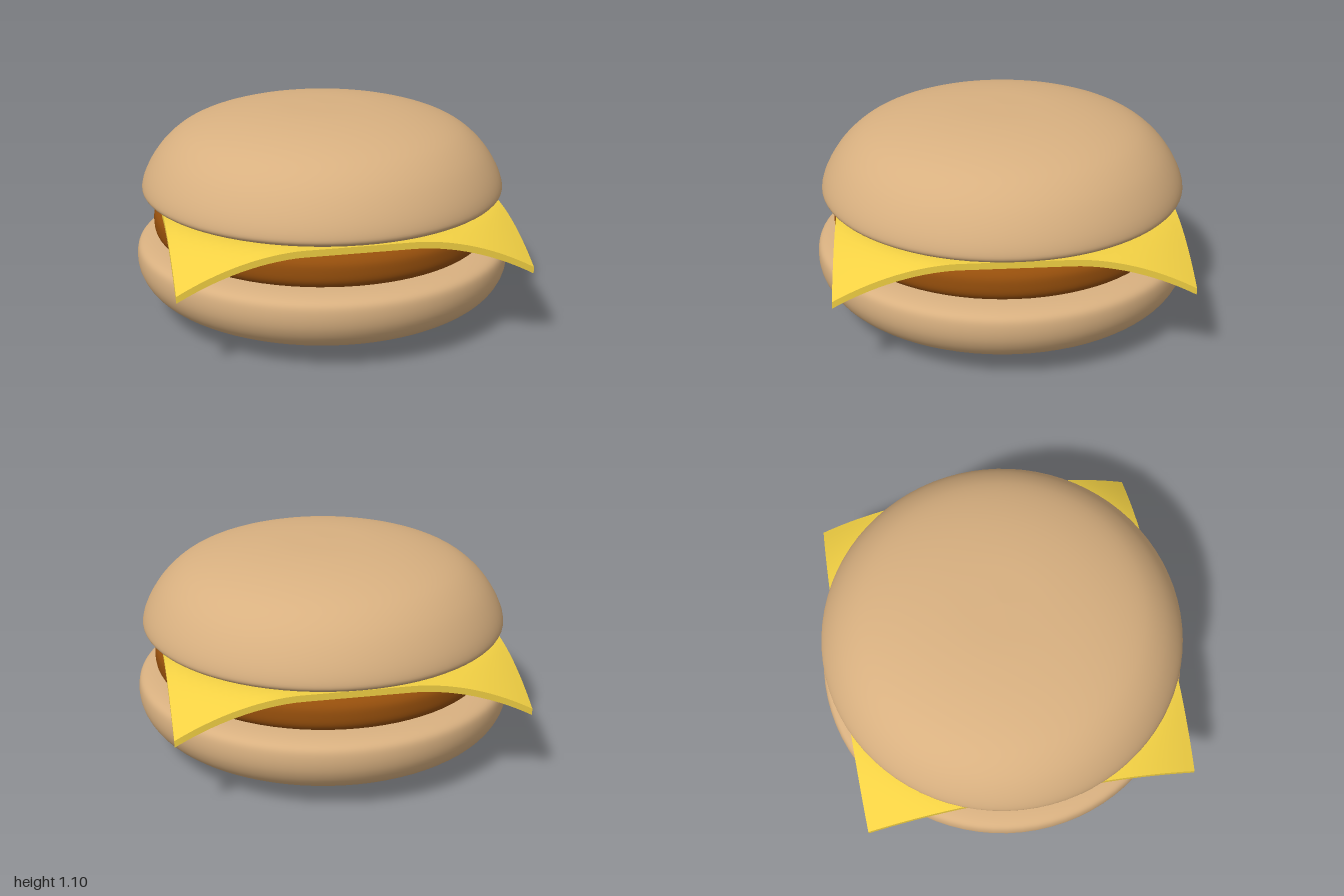
import * as THREE from 'three';

// Smooth round body turned from a few [radius, height] points, bottom to top
function turned(name, color, points) {
  const curve = new THREE.CatmullRomCurve3(
    points.map(([r, y]) => new THREE.Vector3(r, y, 0)), false, 'centripetal');
  const profile = curve.getPoints(48).map(p => new THREE.Vector2(Math.max(p.x, 0), p.y));
  const mesh = new THREE.Mesh(
    new THREE.LatheGeometry(profile, 80),
    new THREE.MeshStandardMaterial({ color }));
  mesh.name = name;
  return mesh;
}

// Square slice, flat in the middle, whose corners droop past a given radius
function cheeseSlice() {
  const size = 1.75, thickness = 0.034;
  const geometry = new THREE.BoxGeometry(size, thickness, size, 40, 1, 40);
  const pos = geometry.attributes.position;
  for (let i = 0; i < pos.count; i++) {
    const past = Math.max(0, Math.hypot(pos.getX(i), pos.getZ(i)) - 0.92);
    pos.setY(i, pos.getY(i) + 0.603 - 0.89 * Math.pow(past, 1.4));
  }
  geometry.computeVertexNormals();
  const mesh = new THREE.Mesh(geometry, new THREE.MeshStandardMaterial({ color: 0xf2d043 }));
  mesh.name = 'cheeseSlice';
  return mesh;
}

export function createModel() {
  const group = new THREE.Group();
  group.name = 'burger';
  const bun = 0xd8b080;

  // Bottom bun: rounded underside, tight upper rim
  group.add(turned('bottomBun', bun, [
    [0, 0.005], [0.3, 0.012], [0.6, 0.04], [0.82, 0.09], [0.94, 0.16], [0.99, 0.24],
    [1.0, 0.32], [0.985, 0.37], [0.93, 0.395], [0.75, 0.405], [0, 0.408]]));

  // Patty with rounded side
  group.add(turned('patty', 0x964f0c, [
    [0, 0.408], [0.8, 0.409], [0.87, 0.418], [0.898, 0.45], [0.905, 0.5],
    [0.898, 0.545], [0.87, 0.575], [0.8, 0.584], [0, 0.585]]));

  group.add(cheeseSlice());

  // Top bun: shallow underside, domed crown
  group.add(turned('topBun', bun, [
    [0, 0.614], [0.6, 0.617], [0.82, 0.627], [0.92, 0.643], [0.957, 0.668], [0.955, 0.71],
    [0.915, 0.8], [0.84, 0.9], [0.73, 0.985], [0.55, 1.05], [0.3, 1.09], [0, 1.1]]));

  return group;
}
